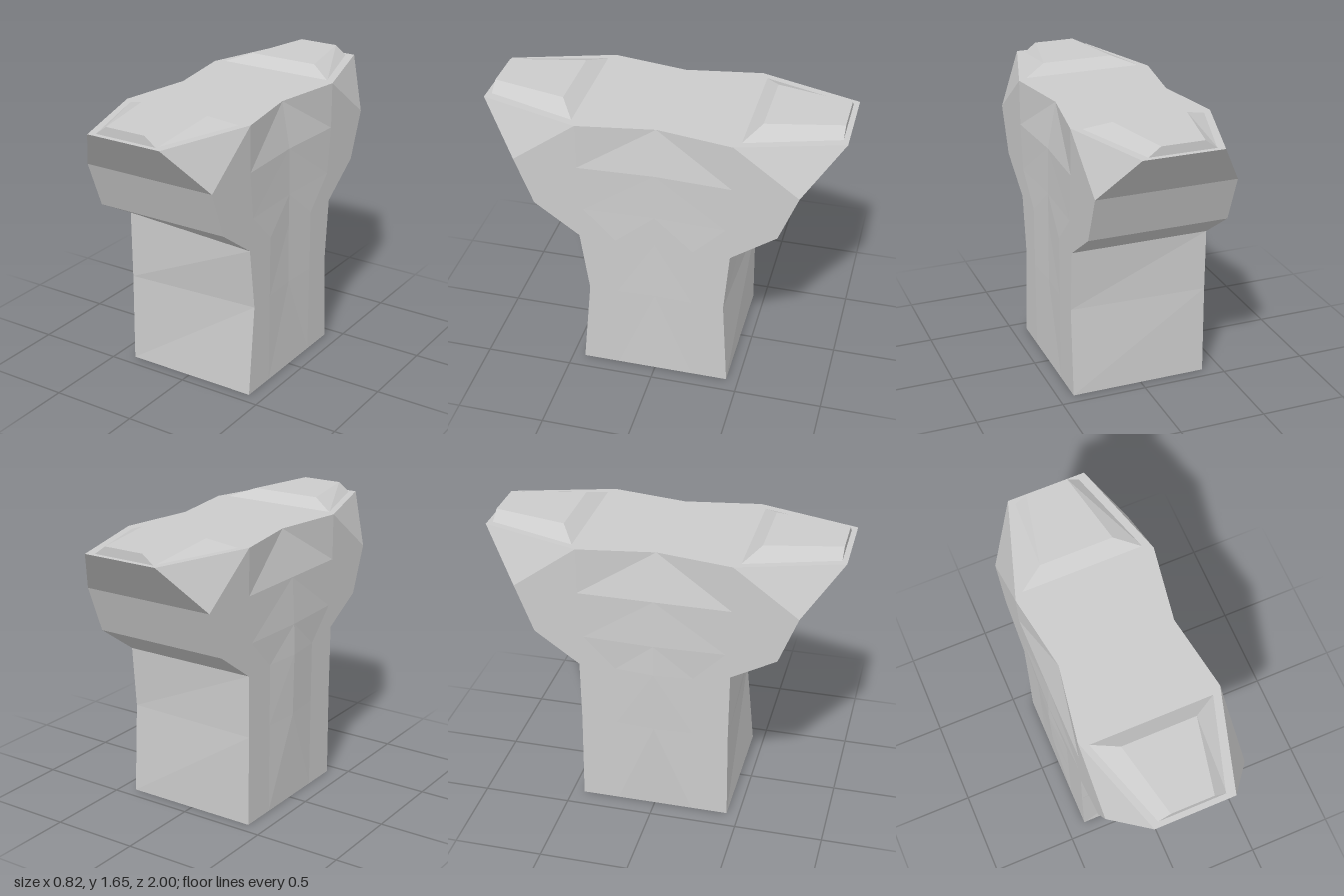
import * as THREE from 'three';

const material = new THREE.MeshStandardMaterial({ color: 0xcccccc, flatShading: true });

// Skins a stack of equal-length rings ([x, y, z] points, counterclockwise from above) and caps both ends.
function loft(rings, name, flip = () => false) {
  const pos = [];
  const tri = (...points) => points.forEach((p) => pos.push(...p));
  const n = rings[0].length;
  for (let r = 0; r < rings.length - 1; r++) {
    for (let i = 0; i < n; i++) {
      const j = (i + 1) % n;
      const a = rings[r][i], b = rings[r][j], c = rings[r + 1][j], d = rings[r + 1][i];
      if (flip(i)) { tri(a, b, d); tri(b, c, d); }
      else { tri(a, b, c); tri(a, c, d); }
    }
  }
  const cap = (ring, up) => {
    const centre = [0, 1, 2].map((k) => ring.reduce((s, p) => s + p[k], 0) / n);
    ring.forEach((p, i) => {
      const q = ring[(i + 1) % n];
      if (up) tri(p, q, centre); else tri(q, p, centre);
    });
  };
  cap(rings[0], false);
  cap(rings[rings.length - 1], true);
  const geometry = new THREE.BufferGeometry();
  geometry.setAttribute('position', new THREE.Float32BufferAttribute(pos, 3));
  geometry.computeVertexNormals();
  const mesh = new THREE.Mesh(geometry, material);
  mesh.name = name;
  return mesh;
}

// One ten-sided level of the pillar; corners are front/back ends, sides hold the waist.
function level({ y, yFrontLeft = y, x0 = -0.39, x1 = 0.41, fl, fr = fl, br = -fr, bl = -fl, side, m0, m1 }) {
  return [
    [x0, yFrontLeft, fl], [x1, y, fr],
    [0.41, y, side], [m1, y, 0], [0.41, y, -side],
    [x1, y, br], [x0, y, bl],
    [-0.39, y, -side], [m0, y, 0], [-0.39, y, side],
  ];
}

export function createModel() {
  const group = new THREE.Group();
  group.name = 'pillar';

  // Shaft flaring into the overhanging capital
  const rings = [
    { y: 0, fl: 0.43, side: 0.22, m0: -0.39, m1: 0.41 },
    { y: 0.53, fl: 0.425, fr: 0.38, br: -0.4, side: 0.22, m0: -0.405, m1: 0.4 },
    { y: 0.89, yFrontLeft: 0.93, fl: 0.43, side: 0.22, m0: -0.41, m1: 0.395 },
    { y: 1.07, fl: 0.685, side: 0.4, m0: -0.405, m1: 0.395 },
    { y: 1.34, fl: 0.79, side: 0.43, m0: -0.39, m1: 0.39 },
    { y: 1.605, x0: -0.21, x1: 0.24, fl: 1, side: 0.43, m0: -0.32, m1: 0.34 },
  ].map(level);
  group.add(loft(rings, 'pillarBody', (i) => i % 5 > 2));

  // Bevelled raised pads on the two ends of the top
  const padBase = [[-0.18, 0.97], [0.2, 0.97], [0.36, 0.46], [-0.345, 0.46]];
  const padTop = [[-0.11, 0.97], [0.13, 0.97], [0.22, 0.55], [-0.2, 0.55]];
  for (const [s, name] of [[1, 'frontPad'], [-1, 'backPad']]) {
    const ring = (points, y) => {
      const out = points.map(([x, z]) => [x, y, s * z]);
      return s > 0 ? out : out.reverse();
    };
    group.add(loft([ring(padBase, 1.603), ring(padTop, 1.655)], name));
  }
  return group;
}
